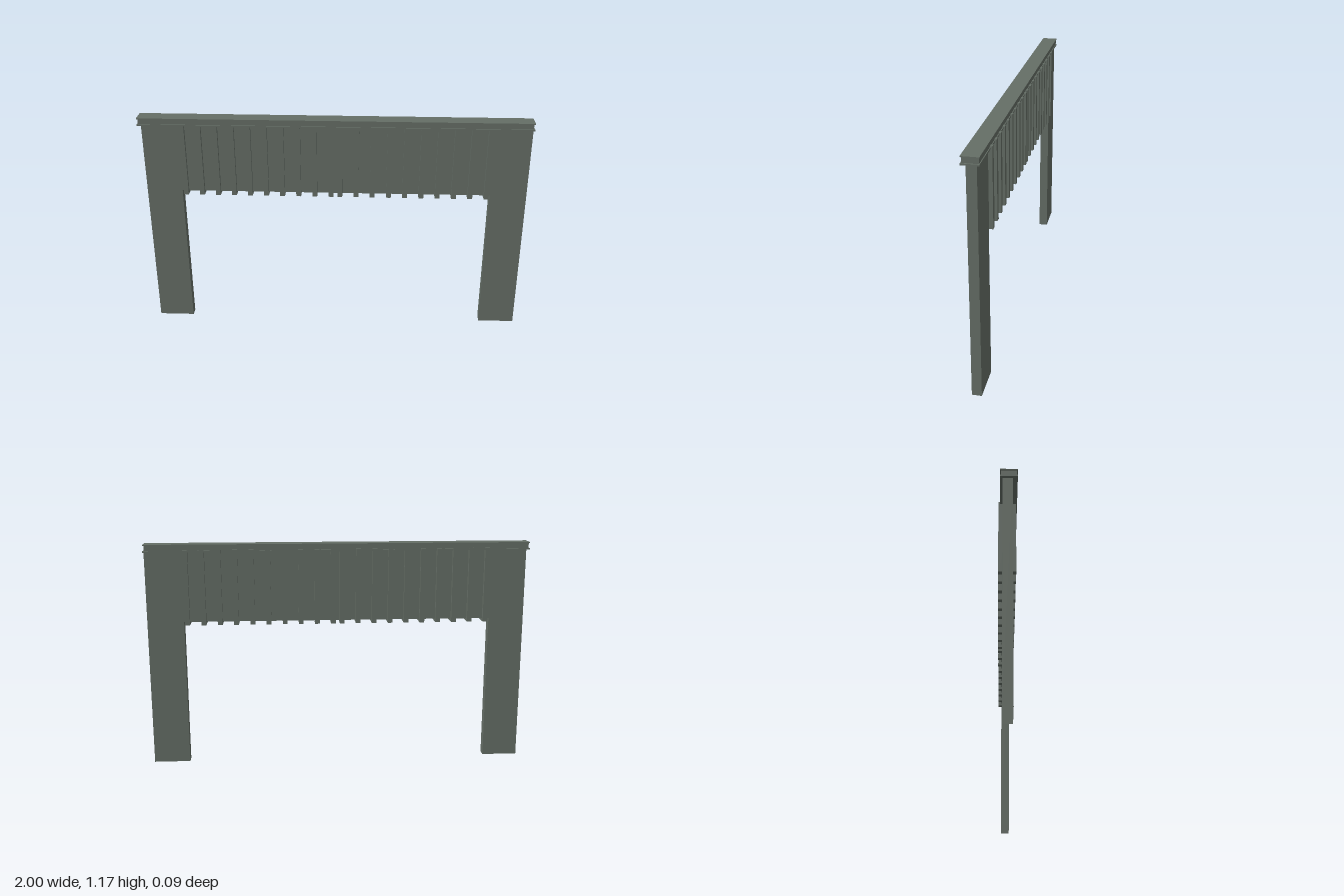
import * as THREE from 'three';

export function createModel() {
  const model = new THREE.Group();
  const paint = new THREE.MeshStandardMaterial({ color: 0x656e66, side: THREE.DoubleSide });
  paint.name = 'grey green';

  // Box given by its minimum and maximum on each axis
  function box(name, [x0, x1], [y0, y1], [z0, z1], parent = model) {
    const mesh = new THREE.Mesh(new THREE.BoxGeometry(x1 - x0, y1 - y0, z1 - z0), paint);
    mesh.position.set((x0 + x1) / 2, (y0 + y1) / 2, (z0 + z1) / 2);
    mesh.name = name;
    parent.add(mesh);
    return mesh;
  }

  // Legs: hollow posts, open at the foot
  const core = [-0.025, 0.022];
  for (const [name, span] of [['rightLeg', [-0.985, -0.8]], ['leftLeg', [0.804, 0.993]]]) {
    const geometry = box(name, span, [0, 1.135], core).geometry;
    const index = Array.from(geometry.index.array);
    index.splice(18, 6); // bottom face
    geometry.setIndex(index);
    geometry.clearGroups();
  }

  // Panel spanning the opening
  box('panel', [-0.8, 0.804], [0.77, 1.135], core);

  // Slats: two runs of ten that meet near the middle
  const slats = new THREE.Group();
  slats.name = 'slats';
  model.add(slats);
  for (const start of [-0.777, 0.027]) {
    for (let i = 0; i < 10; i++) {
      const x = start + i * 0.0842;
      box('slat', [x - 0.0125, x + 0.0125], [0.755, 1.145], [-0.044, 0.04], slats);
    }
  }

  // Cornice: a beam between two thin projecting flanges
  const cornice = new THREE.Group();
  cornice.name = 'cornice';
  model.add(cornice);
  box('beam', [-0.994, 0.99], [1.138, 1.169], [-0.033, 0.04], cornice);
  box('topFlange', [-1, 0.997], [1.168, 1.173], [-0.037, 0.045], cornice);
  box('lowerFlange', [-1, 0.997], [1.133, 1.141], [-0.037, 0.045], cornice);

  return model;
}
